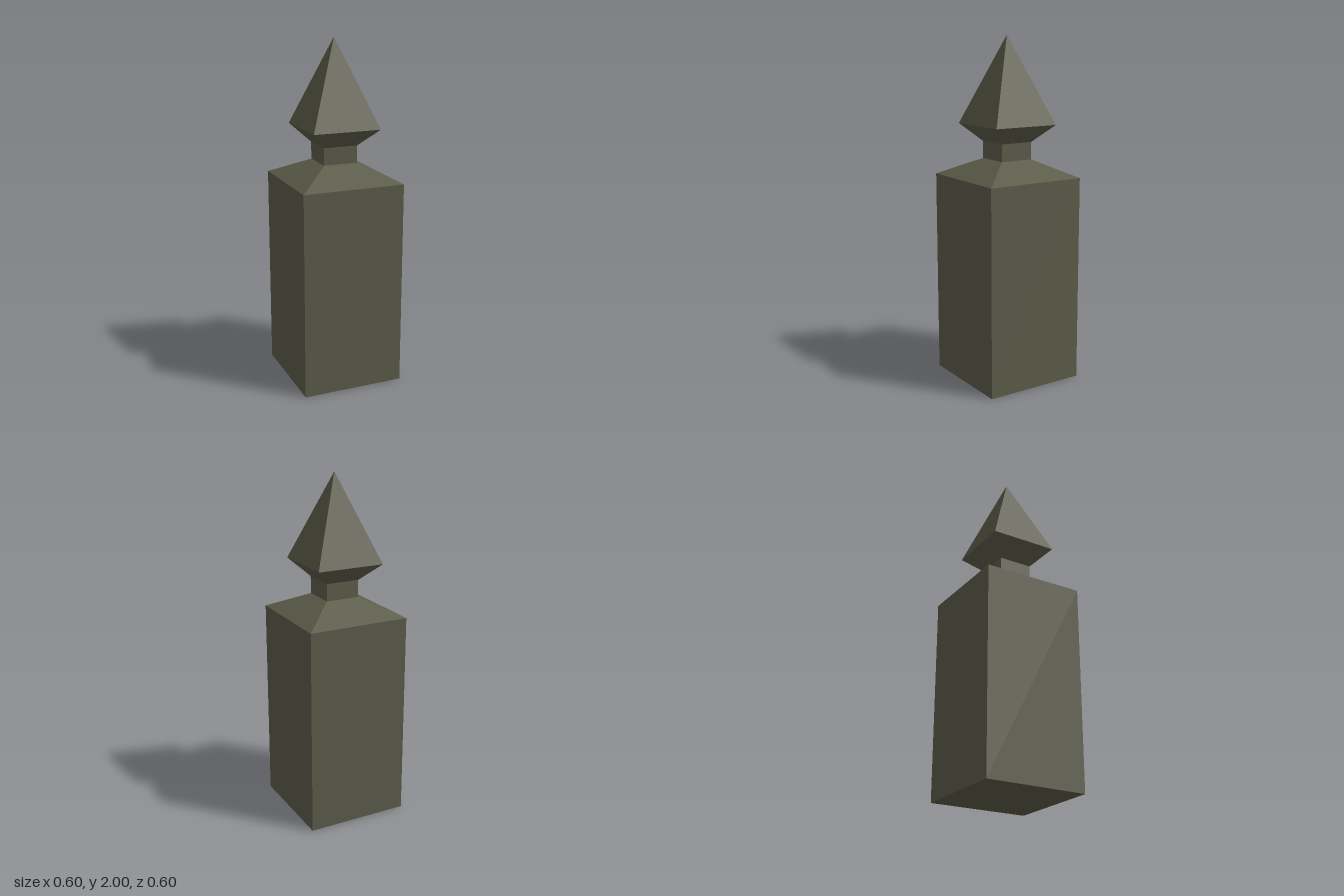
import * as THREE from 'three';

// Square frustum between two heights, given half widths at bottom and top
function squareFrustum(name, material, y0, half0, y1, half1, openEnded = true) {
  const cylinder = new THREE.CylinderGeometry(
    half1 * Math.SQRT2, half0 * Math.SQRT2, y1 - y0, 4, 1, openEnded);
  cylinder.rotateY(Math.PI / 4);
  cylinder.translate(0, (y0 + y1) / 2, 0);
  const geometry = cylinder.toNonIndexed();
  geometry.computeVertexNormals(); // flat faces
  const mesh = new THREE.Mesh(geometry, material);
  mesh.name = name;
  return mesh;
}

export function createModel() {
  const group = new THREE.Group();
  group.name = 'fencePost';

  const stone = new THREE.MeshStandardMaterial({ color: 0x5c5c4a });
  stone.name = 'dark olive';

  group.add(
    // Square shaft with its base, and the sloped shoulder above it
    new THREE.Mesh(new THREE.BoxGeometry(0.6, 1.2, 0.6).translate(0, 0.6, 0), stone),
    squareFrustum('shoulder', stone, 1.2, 0.3, 1.3, 0.1),
    // Narrow neck
    squareFrustum('neck', stone, 1.3, 0.1, 1.4, 0.1),
    // Flared underside and pointed pyramid of the finial
    squareFrustum('finialFlare', stone, 1.4, 0.1, 1.5, 0.2),
    squareFrustum('finialSpike', stone, 1.5, 0.2, 2.0, 0),
  );
  group.children[0].name = 'shaft';
  return group;
}
